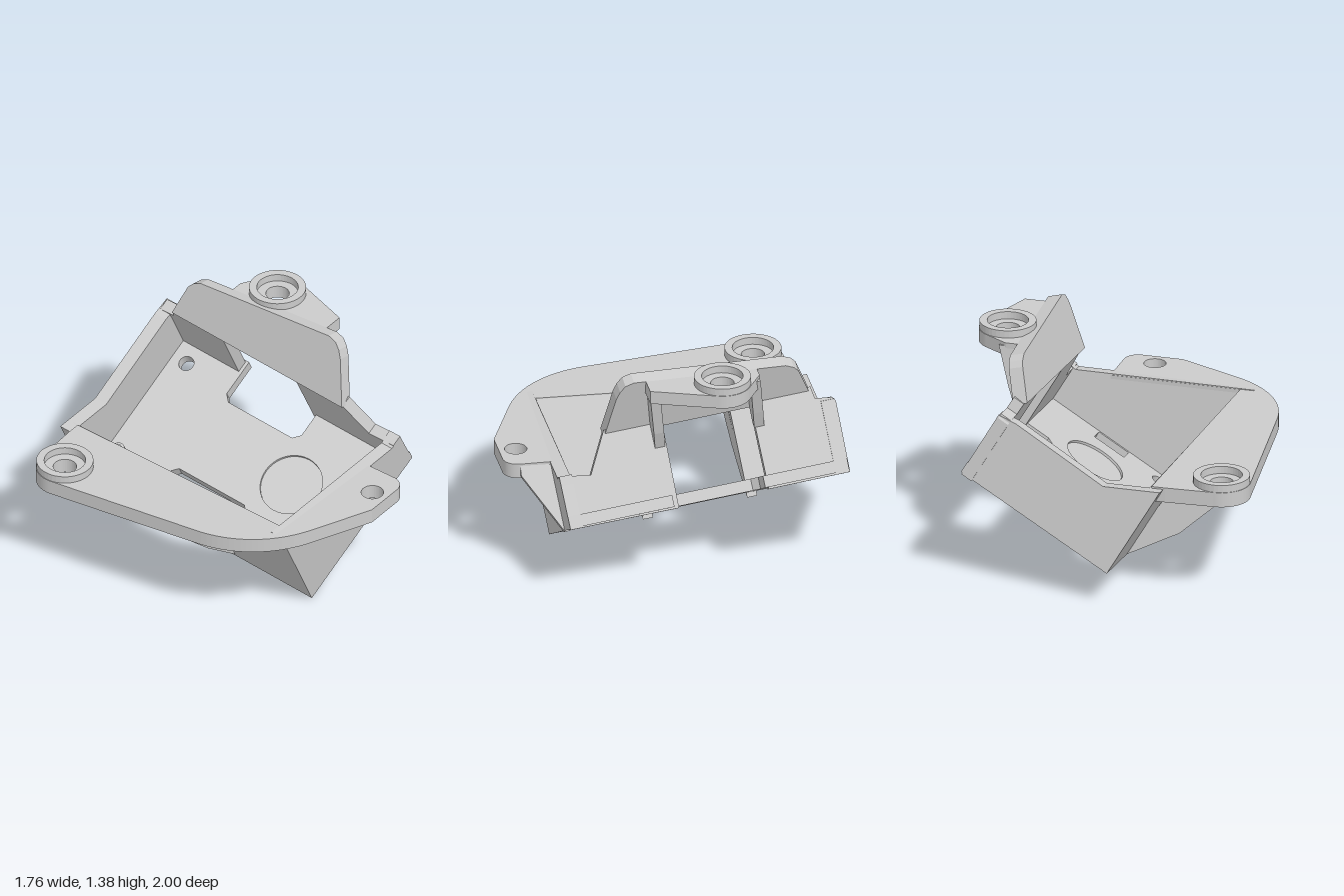
import * as THREE from 'three';

const TILT = THREE.MathUtils.degToRad(7), LEAN = Math.PI / 6;
const C = Math.cos(TILT), S = Math.sin(TILT), FRONT = 0.65;
const material = new THREE.MeshStandardMaterial({ color: 0xcccccc, side: THREE.DoubleSide });

const shapeOf = pts => new THREE.Shape(pts.map(p => new THREE.Vector2(...p)));
const extrude = (shape, depth) =>
  new THREE.ExtrudeGeometry(shape, { depth, bevelEnabled: false, curveSegments: 20 });
const circle = (x, y, r) => new THREE.Path().absarc(x, y, r, 0, Math.PI * 2, true);

function add(parent, name, geometry) {
  const mesh = new THREE.Mesh(geometry, material);
  mesh.name = name;
  parent.add(mesh);
  return mesh;
}

// Height and depth of a level-space point inside the pitched tray frame
const trayY = (z, y) => y * C + (z - FRONT) * S;
const trayQ = (z, y) => y * S - (z - FRONT) * C;

// Leaning side slab whose outline is given as [z, y]; it starts at (x0, y0)
function slab(pts, x0, y0, lean, thickness, inward = false, hole) {
  const map = ([z, y]) => [trayQ(z, y), (trayY(z, y) - y0) / Math.cos(lean)];
  const shape = shapeOf(pts.map(map));
  if (hole) shape.holes.push(hole);
  return extrude(shape, thickness).rotateY(Math.PI / 2)
    .translate(inward ? -thickness : 0, 0, 0).rotateZ(-lean).translate(x0, y0, 0);
}

// Cross plate with outline [x, y], spanning the tray depth from w to w + thickness
const crossPlate = (pts, w, thickness) => extrude(shapeOf(pts), thickness).translate(0, 0, w);

// Horizontal plate drawn as (x, -z)
const flat = (shape, y, h) => extrude(shape, h).rotateX(-Math.PI / 2).translate(0, y, 0);

function bossRing(x, z, y) {
  const ring = new THREE.Shape().absarc(x, -z, 0.165, 0, Math.PI * 2, false);
  ring.holes.push(circle(x, -z, 0.12));
  return flat(ring, y, 0.045);
}

export function createModel() {
  const model = new THREE.Group();
  model.name = 'mountingBracket';
  const tray = new THREE.Group();
  tray.name = 'tiltedTray';
  tray.position.z = FRONT;
  tray.rotation.x = TILT;
  model.add(tray);

  // Floor, notched on both long edges; the upper layer has a round recess
  const floor = new THREE.Group();
  floor.name = 'trayFloor';
  floor.position.x = -0.11;
  floor.rotation.z = LEAN;
  tray.add(floor);
  const floorShape = recess => {
    const s = shapeOf([
      [0, 0], [1.03, 0], [1.03, 0.62], [0.8, 0.62], [0.76, 0.66], [0.76, 1.12], [0.8, 1.16],
      [1.03, 1.16], [1.03, 1.66], [0, 1.66], [0, 1.17], [0.23, 1.17], [0.27, 1.13],
      [0.27, 0.66], [0.23, 0.62], [0, 0.62]]);
    s.holes.push(circle(0.167, 0.175, 0.045), circle(0.84, 1.48, 0.045));
    s.holes.push(new THREE.Path([[0.41, 0.09], [0.41, 0.19], [0.62, 0.19], [0.62, 0.09]]
      .map(p => new THREE.Vector2(...p))));
    if (recess) s.holes.push(circle(0.514, 0.492, 0.185));
    return s;
  };
  add(floor, 'floorLower', flat(floorShape(false), 0, 0.055));
  add(floor, 'floorUpper', flat(floorShape(true), 0.055, 0.015));
  add(floor, 'locatingPeg', new THREE.CylinderGeometry(0.04, 0.04, 0.1, 24)).position.set(0.17, 0.11, -1.48);
  add(floor, 'pegTip', new THREE.CylinderGeometry(0.025, 0.025, 0.02, 24)).position.set(0.17, 0.165, -1.48);

  // Left-hand sloping wall with its window
  const wallWindow = [[0.62, 0], [1.17, 0], [1.17, 0.5], [0.62, 0.5]];
  const sideShape = shapeOf([[0, 0], wallWindow[0], wallWindow[3], wallWindow[2], wallWindow[1],
    [1.66, 0], [1.66, (trayY(-0.94, 0.68)) / Math.cos(LEAN)], [0, trayY(0.735, 0.68) / Math.cos(LEAN)]]);
  add(tray, 'windowWall', extrude(sideShape, 0.07).rotateY(Math.PI / 2).rotateZ(LEAN).translate(-0.11, 0, 0));

  // Wall on the other side, split by the large cutout
  const wallParts = {
    sideWallFront: [[0.71, 0.5], [0.745, 0.77], [0.56, 0.77], [0.46, 0.99], [0.12, 1.035], [0.07, 0.575]],
    sideWallBack: [[-0.46, 0.64], [-0.4, 1.1], [-0.76, 1.14], [-0.78, 1.08], [-0.88, 1.08],
      [-0.9, 1.06], [-0.94, 0.7]],
  };
  for (const [name, pts] of Object.entries(wallParts))
    add(tray, name, slab(pts, 0.78, 0.5, -LEAN, 0.07, true));

  // Upper flange folded outward from the side wall
  const flangeLean = THREE.MathUtils.degToRad(14);
  add(tray, 'upperFlange', slab([[0.46, 0.94], [0.4, 1.22], [0.38, 1.27], [0.35, 1.31], [0.3, 1.33],
    [-0.6, 1.33], [-0.65, 1.31], [-0.68, 1.28], [-0.76, 1.09]], 0.526, 0.94, flangeLean, 0.085, true));

  // Front and back walls
  add(tray, 'frontWall', crossPlate([[-0.11, 0], [0.78, 0.51], [0.62, 0.775], [0.55, 0.725],
    [-0.525, 0.72]], -0.075, 0.075));
  add(tray, 'backWall', crossPlate([[-0.11, 0], [0.78, 0.51], [0.57, 0.88], [0.46, 0.835],
    [-0.07, 0.52], [-0.41, 0.52]], -1.66, 0.08));

  // Ribs under the flange tab
  for (const [w, top] of [[-0.61, 1.25], [-1.2, 1.17]])
    add(tray, 'flangeRib', crossPlate([[0.5, 0.94], [0.526 + (top - 0.94) * 0.25, top], [0.7, top],
      [0.635, 0.93], [0.595, 0.81], [0.55, 0.83]], w - 0.03, 0.06));

  // Ribs under the mounting plate, either side of the window
  for (const [w, t] of [[-0.58, 0.59], [-1.2, 0.5]])
    add(tray, 'plateRib', crossPlate([[-0.08, -0.015], [-0.42, t - 0.34], [-0.72, t - 0.07], [-0.75, t],
      [-0.13 - 0.577 * t, t], [-0.1, 0.03]], w - 0.03, 0.06));
  add(tray, 'frontTabRib', slab([[0.64, 0.345], [0.69, 0.335], [0.91, 0.63], [0.91, 0.68], [0.68, 0.68]],
    0.49, 0.345, -LEAN, 0.06));

  // Level mounting plate wrapped round two sides of the tray
  const plate = new THREE.Shape();
  plate.moveTo(0.34, -0.66);
  plate.lineTo(-0.44, -0.66);
  plate.lineTo(-0.34, 0.86);
  plate.lineTo(-0.42, 0.86);
  plate.lineTo(-0.71, 0.848);
  plate.absarc(-0.71, 0.68, 0.168, Math.PI / 2, Math.PI * 1.04, false);
  plate.lineTo(-0.765, -0.3);
  plate.bezierCurveTo(-0.74, -0.53, -0.6, -0.73, -0.37, -0.835);
  plate.lineTo(0, -1);
  plate.lineTo(0.25, -1);
  plate.quadraticCurveTo(0.32, -0.99, 0.33, -0.92);
  plate.holes.push(circle(-0.71, 0.68, 0.068), circle(0.14, -0.9, 0.065));
  add(model, 'mountingPlate', flat(plate, 0.63, 0.09));
  add(model, 'plateBoss', bossRing(-0.71, -0.68, 0.72));

  // Raised tab on the flange
  const tab = new THREE.Shape();
  tab.moveTo(0.55, -0.23);
  tab.lineTo(0.73, -0.23);
  tab.absarc(0.71, 0.2, 0.168, -0.35, 1.0, false);
  tab.lineTo(0.66, 0.43);
  tab.lineTo(0.55, 0.43);
  tab.holes.push(circle(0.71, 0.2, 0.068));
  add(model, 'flangeTab', flat(tab, 1.25, 0.08));
  add(model, 'tabBoss', bossRing(0.71, -0.2, 1.33));

  return model;
}
